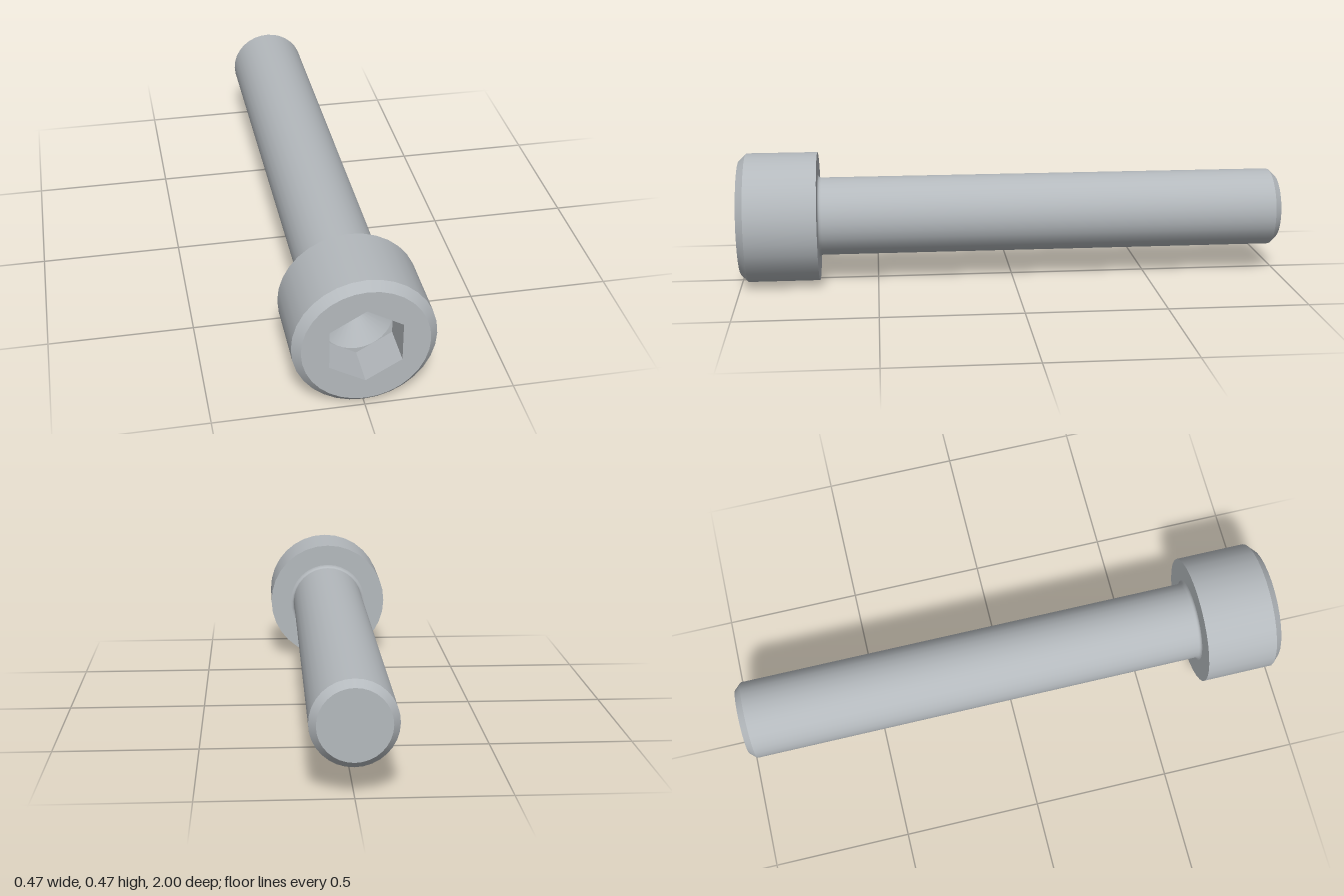
import * as THREE from 'three';

const SEG = 32;
const HEAD_R = 0.237, RIM_R = 0.21, SHANK_R = 0.143;
const HEAD_BACK = 0.714, SOCKET_FLOOR = 0.857;
const HEX_R = 0.1374, HEX_FLAT = 0.1185;

// ring of points in the XY plane, with a corner at the top
function ring(radius, count) {
  return Array.from({ length: count }, (_, i) => {
    const a = (i / count) * Math.PI * 2;
    return new THREE.Vector2(Math.sin(a) * radius, Math.cos(a) * radius);
  });
}

export function createModel() {
  const steel = new THREE.MeshStandardMaterial({ color: 0xb4b9bd });
  steel.name = 'steel';

  const model = new THREE.Group();
  model.name = 'socketHeadScrew';

  const add = (parent, name, geometry) => {
    const mesh = new THREE.Mesh(geometry, steel);
    mesh.name = name;
    parent.add(mesh);
  };

  // surface turned about the z axis from [radius, z] points
  const turned = (points, segments = SEG) =>
    new THREE.LatheGeometry(points.map(([r, z]) => new THREE.Vector2(r, z)), segments)
      .rotateX(Math.PI / 2);

  // flat face towards +z with a hole
  const plate = (outer, hole, z) => {
    const shape = new THREE.Shape(outer);
    shape.holes.push(new THREE.Path(hole));
    return new THREE.ShapeGeometry(shape).translate(0, 0, z);
  };

  const group = (name) => {
    const g = new THREE.Group();
    g.name = name;
    g.position.y = HEAD_R;
    model.add(g);
    return g;
  };

  // shank with chamfered tip and a small fillet under the head
  const shank = group('shank');
  add(shank, 'tipFace', turned([[0, -1], [0.12, -1]]));
  add(shank, 'tipChamfer', turned([[0.12, -1], [SHANK_R, -0.975]]));
  add(shank, 'shankBody', turned([[SHANK_R, -0.975], [SHANK_R, HEAD_BACK - 0.012]]));
  const fillet = [];
  for (let i = 0; i <= 4; i++) {
    const a = (i / 4) * Math.PI / 2;
    fillet.push([SHANK_R + 0.012 * (1 - Math.cos(a)), HEAD_BACK - 0.012 * (1 - Math.sin(a))]);
  }
  add(shank, 'fillet', turned(fillet));

  // cylindrical head with a chamfered front rim
  const head = group('head');
  add(head, 'headUnderside', turned([[SHANK_R + 0.012, HEAD_BACK], [HEAD_R, HEAD_BACK]]));
  add(head, 'headSide', turned([[HEAD_R, HEAD_BACK], [HEAD_R, 0.973]]));
  add(head, 'headChamfer', turned([[HEAD_R, 0.973], [RIM_R, 1]]));
  add(head, 'headFace', plate(ring(RIM_R, SEG), ring(HEX_R, 6), 1));

  // hexagonal socket with a drilled conical bottom
  const socket = group('socket');
  const walls = turned([[HEX_R, 1], [HEX_R, SOCKET_FLOOR]], 6).toNonIndexed();
  walls.computeVertexNormals();
  add(socket, 'socketWalls', walls);
  add(socket, 'socketFloor', plate(ring(HEX_R, 6), ring(HEX_FLAT, SEG), SOCKET_FLOOR));
  add(socket, 'socketCone', turned([[HEX_FLAT, SOCKET_FLOOR], [0, SOCKET_FLOOR - 0.069]]));

  return model;
}
